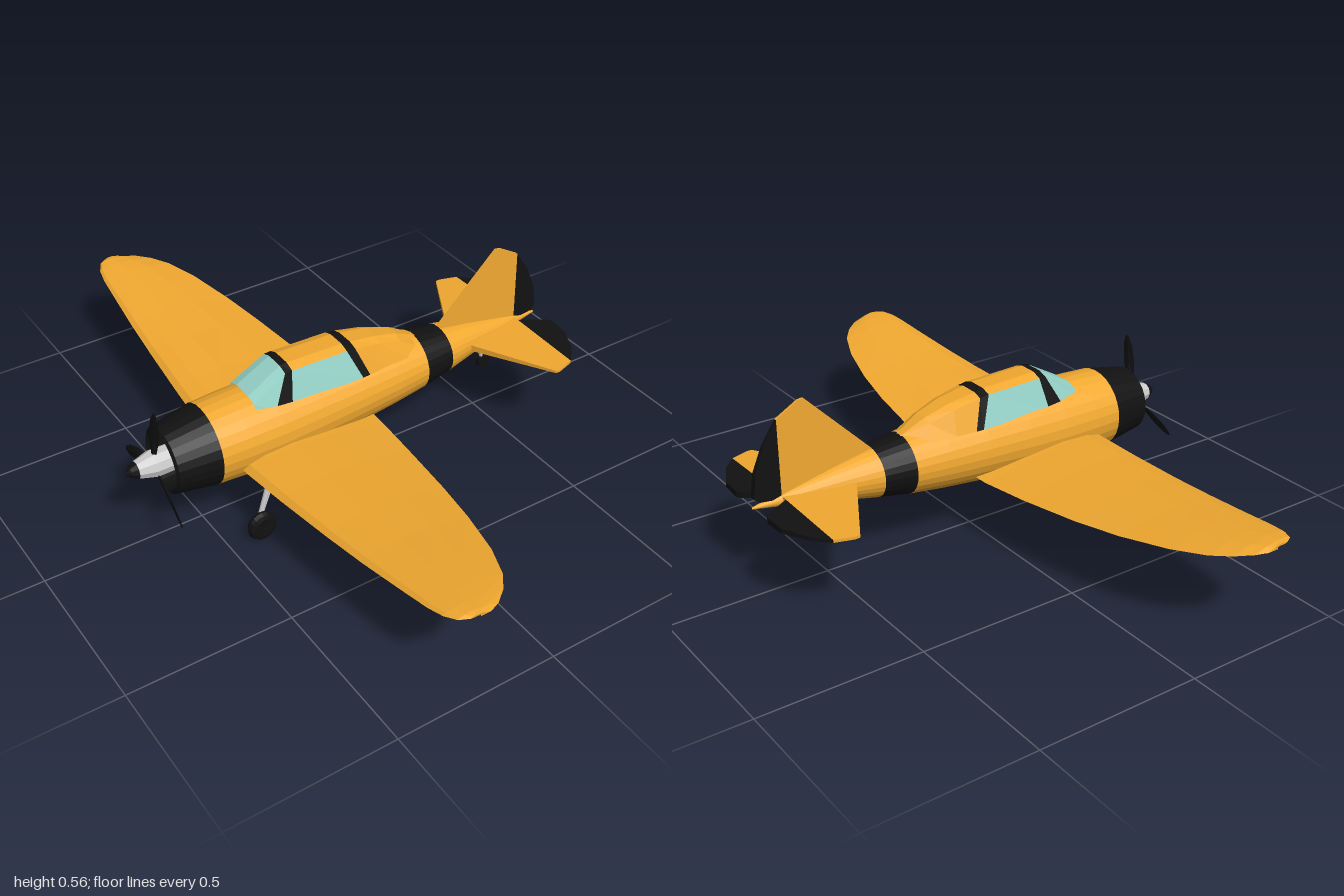
import * as THREE from 'three';

const mat = (color, side = THREE.FrontSide) =>
  new THREE.MeshStandardMaterial({ color, flatShading: true, side });
const ORANGE = mat(0xf0a830), BLACK = mat(0x111111), GREY = mat(0xcccccc);
const GLASS = mat(0x96d2c8, THREE.DoubleSide), SKIN = mat(0xf0a830, THREE.DoubleSide);
const FRAME = mat(0x111111, THREE.DoubleSide);

const V = (x, y, z) => new THREE.Vector3(x, y, z);

// Skin a list of equally long rings of points
function loft(rings, closed = true) {
  const n = rings[0].length, idx = [];
  for (let i = 0; i < rings.length - 1; i++) {
    for (let j = 0; j < (closed ? n : n - 1); j++) {
      const k = (j + 1) % n, a = i * n + j, b = i * n + k, c = a + n, d = b + n;
      idx.push(a, c, b, b, c, d);
    }
  }
  const g = new THREE.BufferGeometry().setFromPoints(rings.flat());
  g.setIndex(idx);
  g.computeVertexNormals();
  return g;
}

// Elliptical fuselage ring from bottom, top and half width
function hoop([x, lo, hi, w], sides = 28) {
  return Array.from({ length: sides }, (_, i) => {
    const t = (i / sides) * Math.PI * 2;
    return V(x, (lo + hi) / 2 + Math.sin(t) * (hi - lo) / 2, Math.cos(t) * w);
  });
}

// Flat tail surface, thinning away from its root
function panel(points, thick, root, span) {
  const g = new THREE.ExtrudeGeometry(new THREE.Shape(points.map(p => new THREE.Vector2(...p))),
    { depth: thick, bevelEnabled: false });
  g.translate(0, 0, -thick / 2);
  const p = g.attributes.position;
  for (let i = 0; i < p.count; i++) {
    p.setZ(i, p.getZ(i) * (1 - 0.7 * Math.min(1, Math.abs(p.getY(i) - root) / span)));
  }
  return g;
}

// Cylinder between two points
function rod(a, b, r) {
  const d = b.clone().sub(a);
  const g = new THREE.CylinderGeometry(r, r, d.length(), 10);
  g.applyQuaternion(new THREE.Quaternion().setFromUnitVectors(V(0, 1, 0), d.normalize()));
  const m = a.clone().add(b).multiplyScalar(0.5);
  return g.translate(m.x, m.y, m.z);
}

export function createModel() {
  const model = new THREE.Group();
  const add = (name, geo, material, parent = model) => {
    const m = new THREE.Mesh(geo, material);
    m.name = name;
    parent.add(m);
    return m;
  };

  // Fuselage: cowling, body, painted band, tail cone
  const cowl = [[-0.54, 0.25, 0.266, 0.008], [-0.55, 0.175, 0.341, 0.083], [-0.606, 0.172, 0.345, 0.086],
    [-0.615, 0.165, 0.352, 0.093], [-0.608, 0.156, 0.361, 0.102], [-0.48, 0.138, 0.385, 0.124]];
  const body = [[-0.48, 0.138, 0.385, 0.124], [-0.39, 0.132, 0.39, 0.128], [-0.28, 0.13, 0.393, 0.129],
    [-0.15, 0.14, 0.391, 0.126], [0, 0.154, 0.386, 0.119], [0.13, 0.167, 0.378, 0.109], [0.245, 0.182, 0.368, 0.097]];
  const band = [[0.245, 0.182, 0.368, 0.097], [0.345, 0.201, 0.355, 0.083]];
  const tail = [[0.345, 0.201, 0.355, 0.083], [0.46, 0.224, 0.334, 0.058], [0.6, 0.252, 0.305, 0.028], [0.725, 0.273, 0.278, 0.003]];
  add('cowling', loft(cowl.map(r => hoop(r))), BLACK);
  add('body', loft(body.map(r => hoop(r))), ORANGE);
  add('fuselageBand', loft(band.map(r => hoop(r))), BLACK);
  add('tailCone', loft(tail.map(r => hoop(r))), ORANGE);

  // Canopy stations: base x, base y, base width, shoulder x, shoulder y, shoulder width, ridge y
  const st = [
    [-0.345, 0.36, 0.072, -0.345, 0.382, 0.066, 0.394],
    [-0.285, 0.35, 0.086, -0.237, 0.445, 0.058, 0.455],
    [-0.232, 0.348, 0.088, -0.214, 0.446, 0.058, 0.457],
    [0.01, 0.35, 0.088, -0.028, 0.441, 0.058, 0.451],
    [0.035, 0.35, 0.087, 0.002, 0.437, 0.057, 0.446],
    [0.1, 0.35, 0.08, 0.09, 0.42, 0.052, 0.432],
    [0.18, 0.345, 0.072, 0.17, 0.395, 0.042, 0.408],
    [0.27, 0.33, 0.05, 0.25, 0.355, 0.02, 0.366],
  ].map(([bx, by, bw, sx, sy, sw, ry]) => [
    V(bx, by, bw), V(sx, sy, sw), V(sx, ry, sw * 0.5), V(sx, ry, -sw * 0.5), V(sx, sy, -sw), V(bx, by, -bw)]);
  const part = (i, j, a = 0, b = 6) => loft(st.slice(i, j + 1).map(r => r.slice(a, b)), false);
  add('windshield', part(0, 1), GLASS);
  add('frontCanopyFrame', part(1, 2), FRAME);
  add('sideWindowA', part(2, 3, 0, 2), GLASS);
  add('sideWindowB', part(2, 3, 4, 6), GLASS);
  add('canopyRoof', part(2, 3, 1, 5), SKIN);
  add('rearCanopyFrame', part(3, 4), FRAME);
  add('canopyFairing', part(4, 7), SKIN);

  // Wing: span z, leading x, trailing x, centre y, thickness
  const half = [[0, -0.42, 0.045, 0.217, 0.062], [0.14, -0.418, 0.042, 0.217, 0.06], [0.3, -0.405, 0.025, 0.225, 0.054],
    [0.5, -0.388, -0.002, 0.24, 0.046], [0.65, -0.375, -0.03, 0.255, 0.04], [0.8, -0.36, -0.07, 0.274, 0.034],
    [0.9, -0.35, -0.113, 0.288, 0.028], [0.95, -0.34, -0.152, 0.296, 0.022], [0.985, -0.322, -0.195, 0.302, 0.014],
    [1, -0.295, -0.23, 0.304, 0.006], [1, -0.262, -0.262, 0.304, 0]];
  const airfoil = [[0, 0], [0.04, 0.28], [0.15, 0.5], [0.35, 0.58], [0.65, 0.36], [1, 0],
    [0.65, -0.3], [0.35, -0.42], [0.15, -0.38], [0.04, -0.24]];
  const wingRing = ([z, a, b, y, t], s) => airfoil.map(([u, v]) =>
    V(a + (b - a) * u, y + v * t - Math.max(0, u - 0.5) * 0.02, z * s));
  add('wing', loft([...half.slice(1).reverse().map(h => wingRing(h, -1)), ...half.map(h => wingRing(h, 1))]), ORANGE);

  // Fin and rudder
  add('fin', panel([[0.34, 0.35], [0.55, 0.562], [0.568, 0.56], [0.637, 0.52], [0.637, 0.28], [0.5, 0.29]], 0.022, 0.3, 0.27), ORANGE);
  add('rudder', panel([[0.637, 0.52], [0.68, 0.455], [0.712, 0.375], [0.72, 0.305], [0.705, 0.292], [0.637, 0.283]], 0.022, 0.3, 0.27), BLACK);

  // Tailplane, elevators and main gear on both sides
  for (const s of [1, -1]) {
    const flat = pts => panel(pts.map(([x, z]) => [x, z * s]), 0.024, 0, 0.32).rotateX(Math.PI / 2).translate(0, 0.28, 0);
    add('tailplane', flat([[0.4, 0.01], [0.43, 0.065], [0.565, 0.305], [0.58, 0.306], [0.637, 0.288], [0.637, 0.01]]), ORANGE);
    add('elevator', flat([[0.637, 0.288], [0.682, 0.24], [0.722, 0.16], [0.725, 0.09], [0.71, 0.075], [0.637, 0.033]]), BLACK);

    const gear = new THREE.Group();
    gear.name = 'mainGear';
    model.add(gear);
    // Open rim around the wheel well
    const rim = new THREE.Shape([[-0.365, 0.125], [-0.2, 0.125], [-0.2, 0.2], [-0.365, 0.2]].map(([x, z]) => new THREE.Vector2(x, z * s)));
    rim.holes.push(new THREE.Path([[-0.353, 0.137], [-0.212, 0.137], [-0.212, 0.188], [-0.353, 0.188]].map(([x, z]) => new THREE.Vector2(x, z * s))));
    add('wheelWellRim', new THREE.ExtrudeGeometry(rim, { depth: 0.035, bevelEnabled: false })
      .rotateX(Math.PI / 2).translate(0, 0.209, 0), ORANGE, gear);
    add('strut', rod(V(-0.355, 0.2, 0.162 * s), V(-0.4, 0.05, 0.162 * s), 0.008), GREY, gear);
    add('strutBrace', rod(V(-0.34, 0.2, 0.162 * s), V(-0.385, 0.085, 0.162 * s), 0.005), GREY, gear);
    add('axle', rod(V(-0.4, 0.05, 0.156 * s), V(-0.4, 0.05, 0.18 * s), 0.007), GREY, gear);
    const tyre = [[0, -0.012], [0.03, -0.015], [0.042, -0.011], [0.047, 0], [0.042, 0.011], [0.03, 0.015], [0, 0.012]];
    add('wheel', new THREE.LatheGeometry(tyre.map(p => new THREE.Vector2(...p)), 20)
      .rotateX(Math.PI / 2).translate(-0.4, 0.047, 0.181 * s), BLACK, gear);
  }

  // Tail wheel
  add('tailStrut', rod(V(0.498, 0.25, 0), V(0.53, 0.16, 0), 0.006), GREY);
  add('tailWheel', new THREE.CylinderGeometry(0.024, 0.024, 0.016, 16).rotateX(Math.PI / 2).translate(0.532, 0.158, 0), BLACK);

  // Propeller: hub, spinner tip and three twisted blades
  const prop = new THREE.Group();
  prop.name = 'propeller';
  prop.position.set(-0.637, 0.26, 0);
  model.add(prop);
  const turned = pts => new THREE.LatheGeometry(pts.map(p => new THREE.Vector2(...p)), 10).rotateZ(Math.PI / 2);
  add('hub', turned([[0.04, -0.1], [0.041, 0.005], [0.027, 0.055]]), GREY, prop);
  add('spinnerTip', turned([[0.027, 0.055], [0.016, 0.075], [0, 0.092]]), BLACK, prop);
  for (let i = 0; i < 3; i++) {
    const rings = [[0.02, 0.006, 0.006, 0.5], [0.06, 0.012, 0.005, 0.45], [0.11, 0.019, 0.004, 0.35], [0.165, 0.016, 0.003, 0.25],
      [0.195, 0.007, 0.002, 0.2], [0.2, 0, 0, 0.2]].map(([y, w, t, a]) =>
      [[0, w], [t, 0], [0, -w], [-t, 0]].map(([x, z]) =>
        V(x * Math.cos(a) + z * Math.sin(a), y, z * Math.cos(a) - x * Math.sin(a))));
    add('blade', loft(rings), FRAME, prop).rotation.x = THREE.MathUtils.degToRad(10 + 120 * i);
  }
  return model;
}
